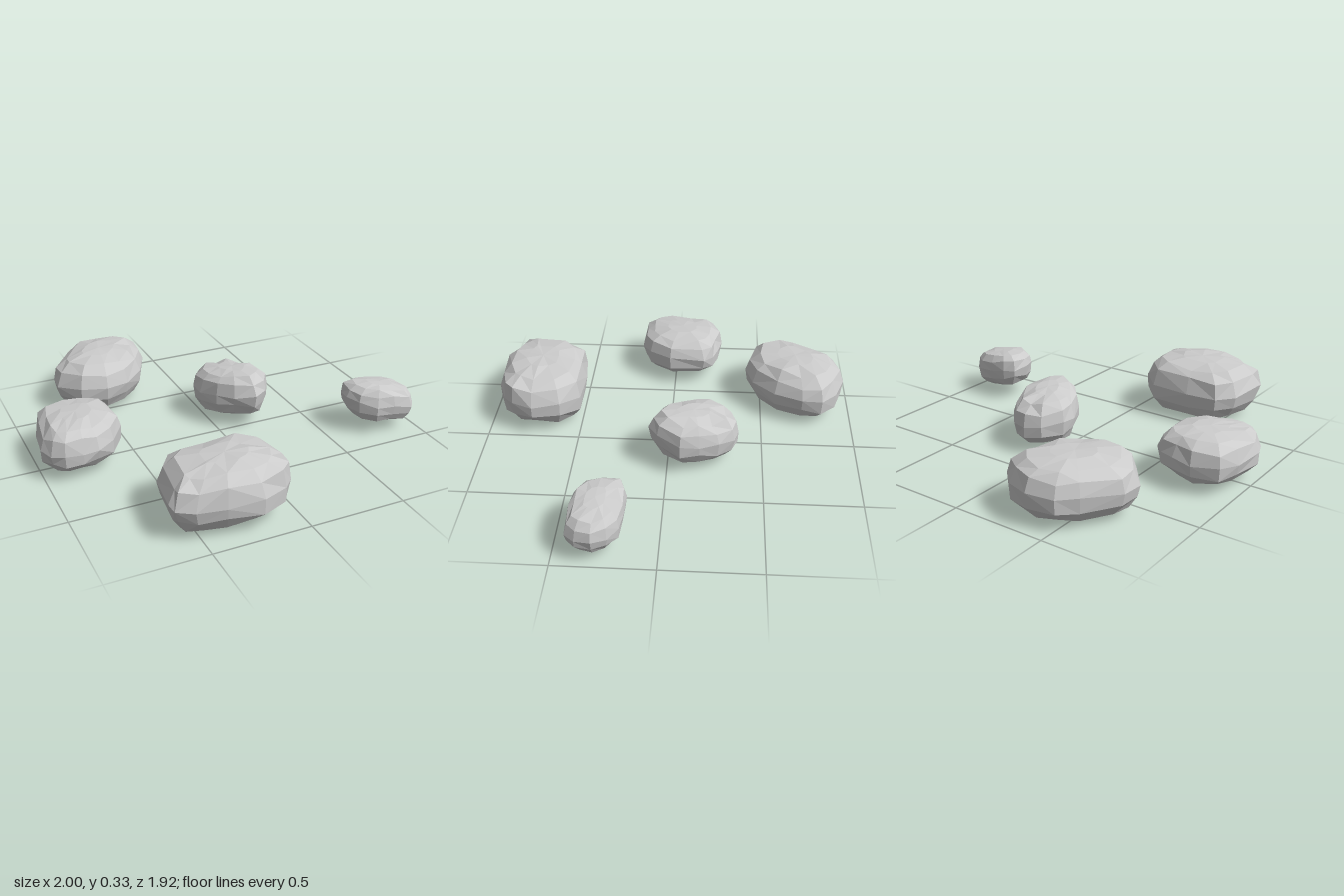
import * as THREE from 'three';

// Each rock: girth outline seen from above as [x, z], height range, and slope of its layers along x and z
const rocks = [
  { name: 'backRock', y: [0.01, 0.31], tilt: [0, 0],
    outline: [[-0.38, -0.96], [-0.52, -0.93], [-0.6, -0.85], [-0.72, -0.68], [-0.73, -0.57], [-0.63, -0.45],
      [-0.49, -0.41], [-0.36, -0.45], [-0.24, -0.57], [-0.17, -0.72], [-0.17, -0.83], [-0.25, -0.91]] },
  { name: 'leftmostRock', y: [0.03, 0.29], tilt: [0.05, 0],
    outline: [[-0.81, -0.27], [-0.94, -0.22], [-0.98, -0.1], [-1, 0.07], [-0.97, 0.15], [-0.91, 0.19], [-0.82, 0.2],
      [-0.74, 0.2], [-0.65, 0.15], [-0.57, 0.03], [-0.57, -0.17], [-0.62, -0.22], [-0.7, -0.25]] },
  { name: 'middleRock', y: [0.04, 0.32], tilt: [0, 0.12],
    outline: [[0.11, -0.37], [0.02, -0.34], [-0.05, -0.24], [-0.05, -0.15], [0, -0.04], [0.07, 0.04],
      [0.17, 0.1], [0.25, 0.05], [0.32, -0.07], [0.3, -0.17], [0.26, -0.27], [0.19, -0.35]] },
  { name: 'smallRock', y: [0.05, 0.28], tilt: [-0.15, 0],
    outline: [[0.7, 0.16], [0.64, 0.19], [0.62, 0.28], [0.65, 0.36], [0.73, 0.42], [0.83, 0.43],
      [0.94, 0.43], [0.98, 0.38], [1, 0.3], [0.96, 0.23], [0.9, 0.18], [0.8, 0.165]] },
  { name: 'frontRock', y: [0.01, 0.34], tilt: [0.02, 0.03],
    outline: [[-0.35, 0.49], [-0.52, 0.51], [-0.6, 0.6], [-0.63, 0.82], [-0.62, 0.87], [-0.54, 0.92], [-0.4, 0.95],
      [-0.22, 0.96], [-0.09, 0.91], [-0.04, 0.86], [0, 0.75], [-0.03, 0.6], [-0.13, 0.5]] },
];

// Layers from bottom to top: [fraction of the girth, fraction of the height]
const layers = [[0.45, 0.02], [0.8, 0.13], [0.97, 0.32], [1, 0.55], [0.92, 0.79], [0.72, 0.93], [0.36, 0.99]];

function seeded(seed) {
  return () => {
    seed = (seed * 16807) % 2147483647;
    return seed / 2147483647 - 0.5;
  };
}

function rockGeometry({ outline, y, tilt }, seed) {
  const rand = seeded(seed);
  const n = outline.length;
  const height = y[1] - y[0];
  const box = new THREE.Box2().setFromPoints(outline.map(([x, z]) => new THREE.Vector2(x, z)));
  const c = box.getCenter(new THREE.Vector2());
  const points = [];
  const index = [];
  const add = (dx, dz, h) =>
    points.push(c.x + dx, h * height + dx * tilt[0] + dz * tilt[1], c.y + dz);

  // chipped rings, the widest one keeping the exact outline
  for (const [r, h] of layers) {
    for (const [x, z] of outline) {
      const s = r === 1 ? 1 : Math.min(0.99, r * (1 + rand() * 0.09));
      add((x - c.x) * s, (z - c.y) * s, h + rand() * (r < 0.5 ? 0.02 : 0.08));
    }
  }
  const bottom = points.length / 3;
  add(0, 0, 0);
  add(0, 0, 1);

  const last = (layers.length - 1) * n;
  for (let j = 0; j < n; j++) {
    const k = (j + 1) % n;
    for (let i = 0; i < last; i += n) {
      // alternate the diagonal for irregular facets
      if (rand() > 0) index.push(i + j, i + k, i + n + k, i + j, i + n + k, i + n + j);
      else index.push(i + j, i + k, i + n + j, i + k, i + n + k, i + n + j);
    }
    index.push(bottom, k, j, bottom + 1, last + j, last + k);
  }

  const geo = new THREE.BufferGeometry();
  geo.setAttribute('position', new THREE.Float32BufferAttribute(points, 3));
  geo.setIndex(index);

  // fit the height range
  geo.computeBoundingBox();
  const { min, max } = geo.boundingBox;
  const k = height / (max.y - min.y);
  geo.scale(1, k, 1).translate(0, y[0] - min.y * k, 0);
  const flat = geo.toNonIndexed();
  flat.computeVertexNormals();
  return flat;
}

export function createModel() {
  const group = new THREE.Group();
  group.name = 'rocks';
  const stone = new THREE.MeshStandardMaterial({ color: 0xcccccc, flatShading: true });
  rocks.forEach((rock, i) => {
    const mesh = new THREE.Mesh(rockGeometry(rock, 1234 + i * 7919), stone);
    mesh.name = rock.name;
    group.add(mesh);
  });
  // rest the lowest rocks on the ground
  group.children.forEach((m) => m.geometry.translate(0, -0.01, 0));
  return group;
}
